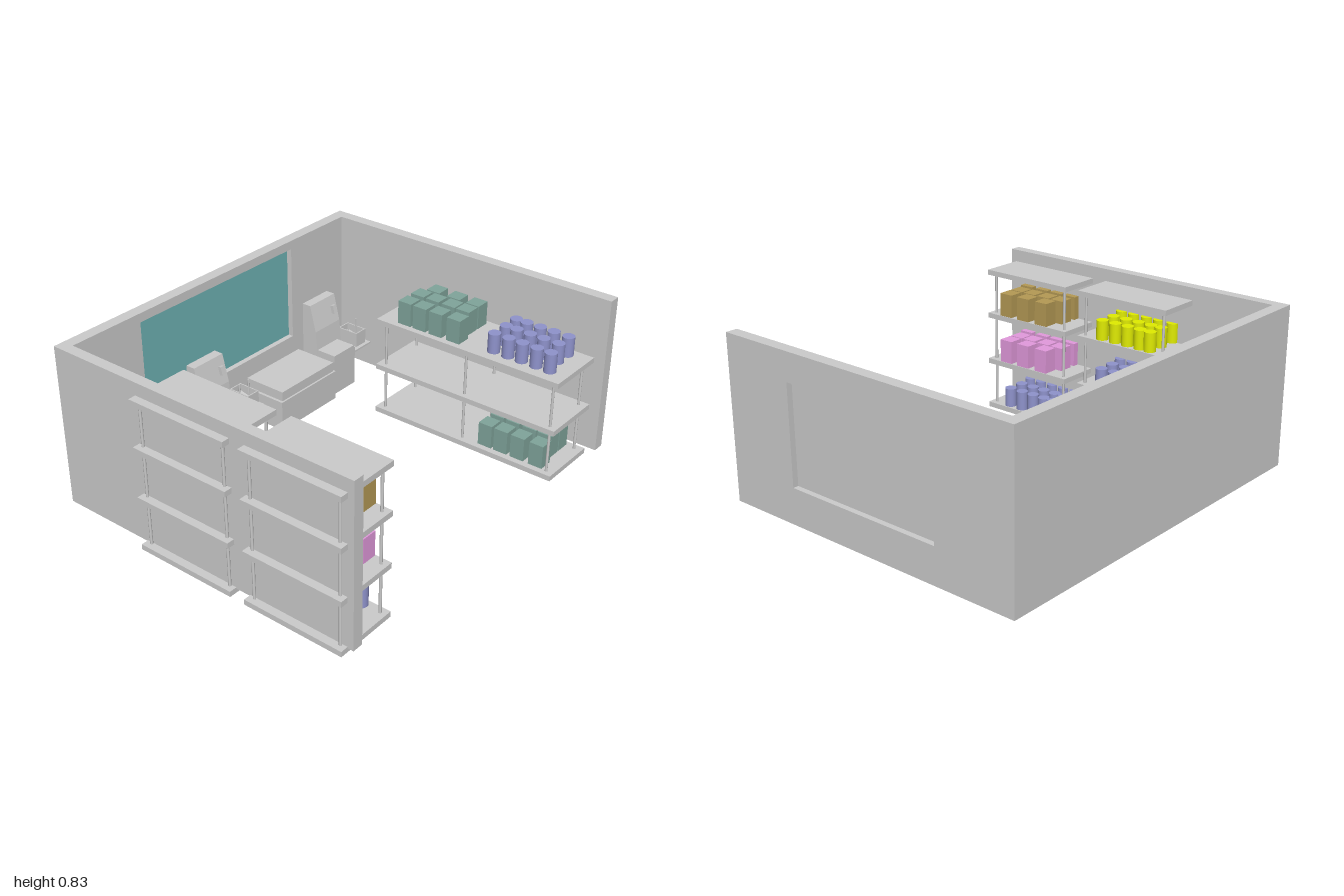
import * as THREE from 'three';

const mat = (color) => new THREE.MeshStandardMaterial({ color });
const grey = mat(0xcccccc);
const purple = mat(0x8f93cc), green = mat(0x80a59b), tan = mat(0xb59a55);
const pink = mat(0xe39add), yellow = mat(0xe0ec00), teal = mat(0x6fb3b5);

function add(parent, name, geometry, material = grey) {
  const mesh = new THREE.Mesh(geometry, material);
  mesh.name = name;
  parent.add(mesh);
  return mesh;
}

// Box given by its minimum and maximum on each axis
function box(parent, name, [x0, x1], [y0, y1], [z0, z1], material) {
  const mesh = add(parent, name, new THREE.BoxGeometry(x1 - x0, y1 - y0, z1 - z0), material);
  mesh.position.set((x0 + x1) / 2, (y0 + y1) / 2, (z0 + z1) / 2);
  return mesh;
}

function rod(parent, name, x, z, y0, y1, r, material, sides = 8) {
  const mesh = add(parent, name, new THREE.CylinderGeometry(r, r, y1 - y0, sides), material);
  mesh.position.set(x, (y0 + y1) / 2, z);
  return mesh;
}

// Wall layer with a rectangular hole, extruded along z
function holedPanel(u0, u1, v0, v1, h, depth) {
  const rect = (target, a, b, c, d) =>
    target.moveTo(a, c).lineTo(b, c).lineTo(b, d).lineTo(a, d).closePath();
  const shape = rect(new THREE.Shape(), u0, u1, v0, v1);
  shape.holes.push(rect(new THREE.Path(), ...h));
  return new THREE.ExtrudeGeometry(shape, { depth, bevelEnabled: false });
}

function buildWalls() {
  const g = new THREE.Group();
  g.name = 'walls';
  const Y = [0.02, 0.83];
  // Back wall with a recessed coloured board on the inside
  box(g, 'backWall', [-0.96, 1], Y, [-0.83, -0.8]);
  add(g, 'backWallFrame', holedPanel(-0.96, 1, ...Y, [-0.51, 0.535, 0.29, 0.785], 0.03)).position.z = -0.8;
  box(g, 'wallBoard', [-0.51, 0.535], [0.29, 0.785], [-0.8, -0.798], teal);
  // Side walls, one with a recess on its outer face
  box(g, 'rightWall', [-0.96, -0.905], Y, [-0.77, 0.83]);
  box(g, 'leftWall', [0.94, 0.972], Y, [-0.77, 0.83]);
  const outer = holedPanel(-0.83, 0.77, ...Y, [-0.44, 0.41, 0.2, 0.69], 0.028);
  outer.rotateY(Math.PI / 2);
  add(g, 'leftWallFrame', outer).position.x = 0.972;
  return g;
}

// Offsets of the goods on a shelf, column by column: [x, [z...]]
const BOXES = [
  [-0.095, [-0.14, -0.05, 0.045, 0.15]],
  [0.01, [-0.14, -0.05, 0.045, 0.13]],
  [0.095, [-0.105, 0.015, 0.13]],
];
const CANS = [
  [-0.085, [-0.155, -0.075, 0, 0.08, 0.155]],
  [0.015, [-0.155, -0.095, -0.02, 0.055, 0.135]],
  [0.105, [-0.155, -0.095, -0.02, 0.055, 0.135]],
];

function stockBoxes(parent, cx, y, cz, material) {
  for (const [dx, zs] of BOXES) for (const dz of zs) {
    const x = cx + dx, z = cz + dz, h = 0.038;
    box(parent, 'carton', [x - h, x + h], [y, y + 0.122], [z - h, z + h], material);
  }
}

function stockCans(parent, cx, y, cz, material) {
  for (const [dx, zs] of CANS) for (const dz of zs)
    rod(parent, 'can', cx + dx, cz + dz, y, y + 0.1, 0.031, material, 20);
}

const LEVELS = [0, 0.25, 0.505, 0.74];

// Boards on thin posts
function shelfUnit(name, X, Z, levels, postX, postZ) {
  const g = new THREE.Group();
  g.name = name;
  for (const y of LEVELS.slice(0, levels)) box(g, 'board', X, [y, y + 0.027], Z);
  for (const x of postX) for (const z of postZ)
    rod(g, 'post', x, z, 0.027, LEVELS[levels - 1], 0.007);
  return g;
}

function buildShelves() {
  const g = new THREE.Group();
  g.name = 'shelves';
  const top = LEVELS.map((y) => y + 0.027);

  // Two tall units through the right wall
  const wallX = [-1, -0.678], wallPosts = [-0.968, -0.71];
  const front = shelfUnit('frontWallShelf', wallX, [0.28, 0.8], 4, wallPosts, [0.31, 0.77]);
  stockCans(front, -0.82, top[0], 0.54, purple);
  stockBoxes(front, -0.815, top[1], 0.55, pink);
  stockBoxes(front, -0.815, top[2], 0.55, tan);
  const rear = shelfUnit('rearWallShelf', wallX, [-0.33, 0.2], 4, wallPosts, [-0.3, 0.17]);
  stockBoxes(rear, -0.815, top[0], -0.06, green);
  stockCans(rear, -0.82, top[1], -0.065, purple);
  stockCans(rear, -0.82, top[2], -0.065, yellow);

  // Long low unit beside the left wall
  const low = shelfUnit('longShelf', [0.59, 0.915], [-0.26, 0.785], 3, [0.622, 0.882], [-0.22, 0.26, 0.745]);
  stockBoxes(low, 0.755, top[2], 0.025, green);
  stockCans(low, 0.755, top[2], 0.535, purple);
  stockBoxes(low, 0.755, top[0], 0.53, green);
  g.add(front, rear, low);
  return g;
}

// Checkout: chest counter, terminal tower and side tray with a card reader
function buildCheckout() {
  const g = new THREE.Group();
  g.name = 'checkout';
  box(g, 'counterBody', [-0.73, -0.31], [0.02, 0.18], [-0.737, -0.482]);
  box(g, 'counterTop', [-0.715, -0.318], [0.18, 0.23], [-0.727, -0.492]);

  // Terminal with a face leaning back
  const profile = new THREE.Shape([
    [-0.7, 0.02], [-0.51, 0.02], [-0.51, 0.232], [-0.602, 0.232],
    [-0.615, 0.36], [-0.65, 0.5], [-0.7, 0.5],
  ].map(([z, y]) => new THREE.Vector2(-z, y)));
  const tower = new THREE.ExtrudeGeometry(profile, { depth: 0.193, bevelEnabled: false });
  tower.rotateY(Math.PI / 2);
  add(g, 'terminal', tower).position.x = -0.309;
  box(g, 'scanTray', [-0.309, -0.15], [0.225, 0.262], [-0.602, -0.49]);
  const slot = box(g, 'cardSlot', [-0.162, -0.138], [0.408, 0.452], [-0.642, -0.614]);
  slot.rotation.x = -0.24;
  const knob = rod(g, 'scanKnob', -0.133, -0.52, 0.228, 0.242, 0.015, grey, 16);
  knob.position.z = -0.53;

  // Thin side tray holding an open caddy
  box(g, 'sideTray', [-0.117, 0.025], [0.195, 0.204], [-0.67, -0.515]);
  const X = [-0.072, 0.005], Y = [0.204, 0.282], Z = [-0.655, -0.535], t = 0.006;
  box(g, 'caddySide', [X[0], X[0] + t], Y, Z);
  box(g, 'caddySide', [X[1] - t, X[1]], Y, Z);
  box(g, 'caddyEnd', X, Y, [Z[0], Z[0] + t]);
  box(g, 'caddyEnd', X, Y, [Z[1] - t, Z[1]]);
  const plate = box(g, 'caddyPlate', [-0.06, -0.008], [0.235, 0.241], [-0.64, -0.55]);
  plate.rotation.set(0.35, 0.12, 0);
  for (const x of [-0.066, -0.001]) rod(g, 'caddyHandle', x, -0.595, 0.25, 0.327, 0.004);
  return g;
}

export function createModel() {
  const model = new THREE.Group();
  model.name = 'shopInterior';
  model.add(buildWalls(), buildShelves());
  for (const x of [0, 0.846]) {
    const checkout = buildCheckout();
    checkout.position.x = x;
    model.add(checkout);
  }
  return model;
}
